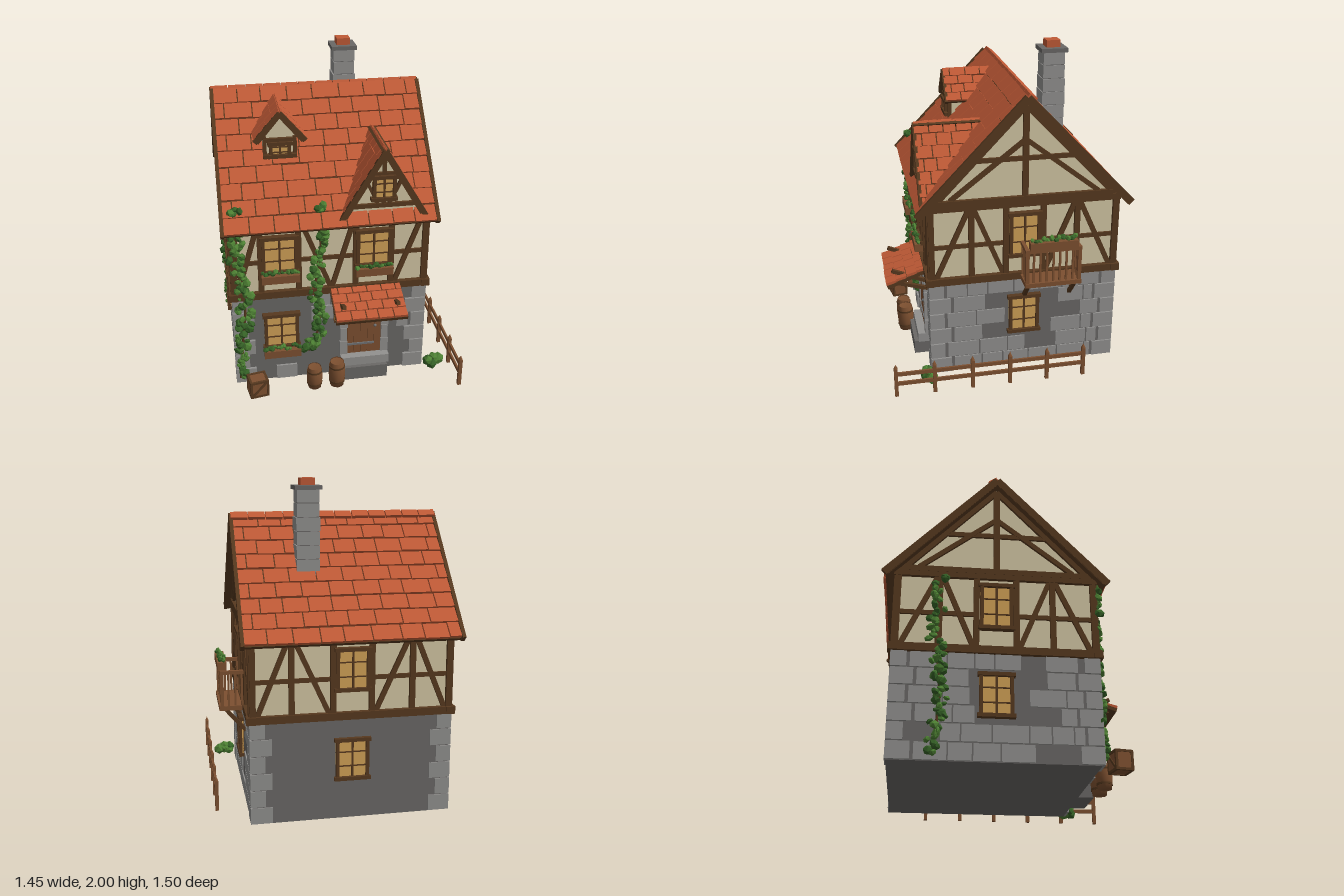
import * as THREE from 'three';

const mat = (name, color) => Object.assign(new THREE.MeshStandardMaterial({ color }), { name });
const M = {
  tile: mat('roof tile', 0xc05a36), timber: mat('dark timber', 0x57391f), plank: mat('plank wood', 0x7d5030),
  plaster: mat('plaster', 0xd3c7a4), mortar: mat('dark stone', 0x6a6866), stone: mat('light stone', 0x92918f),
  glass: mat('lit glass', 0xd2a257), leaf: mat('leaf', 0x4d8033), deep: mat('deep leaf', 0x356126), iron: mat('iron', 0x707274),
};
const PITCH = 0.68 / 0.645; // main roof rise over run

export function createModel() {
  let seed = 7;
  const rnd = (a = 0, b = 1) => {
    seed = (seed * 16807) % 2147483647;
    return a + (b - a) * seed / 2147483647;
  };
  const root = new THREE.Group();
  root.name = 'house';

  // ---------- helpers ----------
  const group = (parent, name, x = 0, y = 0, z = 0, yaw = 0) => {
    const g = new THREE.Group();
    g.name = name;
    g.position.set(x, y, z);
    g.rotation.y = yaw;
    parent.add(g);
    return g;
  };
  const mesh = (parent, name, geo, m, x = 0, y = 0, z = 0) => {
    const o = new THREE.Mesh(geo, m);
    o.name = name;
    o.position.set(x, y, z);
    parent.add(o);
    return o;
  };
  const box = (parent, name, m, w, h, d, x, y, z) => mesh(parent, name, new THREE.BoxGeometry(w, h, d), m, x, y, z);
  // Bar between two points in the parent's xy plane
  const bar = (parent, name, m, x1, y1, x2, y2, w, d, z) => {
    const o = box(parent, name, m, Math.hypot(x2 - x1, y2 - y1), w, d, (x1 + x2) / 2, (y1 + y2) / 2, z);
    o.rotation.z = Math.atan2(y2 - y1, x2 - x1);
    return o;
  };
  const prism = (pts, depth) => new THREE.ExtrudeGeometry(new THREE.Shape(pts.map(p => new THREE.Vector2(...p))), { depth, bevelEnabled: false });
  const clump = (parent, name, x, y, z, r, flat = 0.7) => {
    const o = mesh(parent, name, new THREE.IcosahedronGeometry(r, 0), rnd() < 0.55 ? M.leaf : M.deep, x, y, z);
    o.rotation.set(rnd(0, 3), rnd(0, 3), rnd(0, 3));
    o.scale.set(1, flat, 1);
  };
  const flowerBox = (parent, x, y, z, w) => {
    const g = group(parent, 'flowerBox', x, y, z);
    box(g, 'planter', M.plank, w, 0.05, 0.055, 0, 0, 0);
    for (let i = 0; i < 12; i++) clump(g, 'boxPlant', -w / 2 + w * (i + 0.5) / 12, rnd(0.025, 0.042), rnd(-0.015, 0.015), rnd(0.013, 0.022));
  };
  const windowUnit = (parent, x, y, w, h) => {
    const g = group(parent, 'window', x, y, 0);
    box(g, 'pane', M.glass, w, h, 0.009, 0, 0, 0.012);
    for (const s of [-1, 1]) {
      box(g, 'frameSide', M.timber, 0.02, h, 0.035, s * (w / 2 - 0.01), 0, 0.015);
      box(g, 'frameRail', M.timber, w + 0.02, 0.022, 0.04, 0, s * (h / 2 - 0.01), 0.017);
      box(g, 'glazingBar', M.timber, w, 0.007, 0.01, 0, s * h / 6, 0.018);
    }
    box(g, 'mullion', M.timber, 0.012, h, 0.015, 0, 0, 0.018);
  };
  // Tiled plane: eave sits 'run' out from the ridge axis; extent(y) gives its ends
  const slope = (parent, yaw, x, z, ridgeY, run, rise, rows, tileW, extent) => {
    const outer = group(parent, 'roofSlope', x, 0, z, yaw);
    const g = group(outer, 'tiledPlane', 0, ridgeY - rise, run);
    g.rotation.x = -Math.atan2(run, rise);
    const len = Math.hypot(run, rise), h = len / rows;
    const [a0, b0] = extent(ridgeY - rise), [a1, b1] = extent(ridgeY);
    mesh(g, 'roofBoard', prism([[a0, 0], [b0, 0], [b1, len], [a1, len]], 0.022), M.timber, 0, 0, -0.03);
    for (let r = 0; r < rows; r++) {
      const [a, b] = extent(ridgeY - rise + rise * (r + 0.5) / rows);
      let u = a;
      while (u < b - 0.01) {
        let w = tileW * ((u === a && r % 2) ? 0.5 : rnd(0.85, 1.15));
        if (b - u - w < tileW * 0.35) w = b - u;
        const t = box(g, 'tile', M.tile, w - 0.007, h * 0.97, 0.016, u + w / 2, (r + 0.5) * h + rnd(-0.003, 0.003), 0.001);
        t.rotation.x = -0.1;
        u += w;
      }
    }
  };

  // ---------- main body ----------
  box(root, 'stoneStorey', M.mortar, 1.19, 0.64, 1.15, -0.075, 0.32, -0.095);
  const upper = mesh(root, 'plasterStorey', prism([[-0.57, 0.63], [0.57, 0.63], [0.57, 1.13], [0, 1.73], [-0.57, 1.13]], 1.18), M.plaster, -0.665, 0, -0.09);
  upper.rotation.y = Math.PI / 2;

  // Wall frames: local x along the wall, y up, z outward
  const front = group(root, 'frontWall', -0.075, 0, 0.48);
  const back = group(root, 'backWall', -0.075, 0, -0.66, Math.PI);
  const right = group(root, 'rightWall', 0.515, 0, -0.09, -Math.PI / 2 + Math.PI);
  const left = group(root, 'leftWall', -0.665, 0, -0.09, -Math.PI / 2);

  // ---------- masonry ----------
  const masonry = (wall, half, density, holes) => {
    const h = 0.105;
    for (let r = 0; r < 6; r++) {
      const y = (r + 0.5) * h, q = r % 2 ? 0.09 : 0.13;
      for (const s of [-1, 1]) box(wall, 'cornerStone', M.stone, q, h - 0.007, 0.03, s * (half + 0.012 - q / 2), y, 0.002);
      let u = -half + q + 0.003;
      while (u < half - q - 0.03) {
        const w = Math.min(rnd(0.11, 0.21), half - q - u), c = u + w / 2;
        const blocked = holes.some(([x0, x1, y0, y1]) => c + w / 2 > x0 && c - w / 2 < x1 && y + h / 2 > y0 && y - h / 2 < y1);
        if (!blocked && rnd() < density) box(wall, 'stoneBlock', M.stone, w - 0.008, h - 0.008, 0.02, c, y, 0.003);
        u += w;
      }
    }
  };
  const sideHole = [[-0.11, 0.11, 0.24, 0.52]];
  masonry(front, 0.595, 0.45, [[-0.43, -0.19, 0.2, 0.52], [0.05, 0.4, 0, 0.57]]);
  masonry(back, 0.595, 0, []);
  masonry(right, 0.575, 0.95, sideHole);
  masonry(left, 0.575, 0.9, sideHole);

  // ---------- timber framing ----------
  const framing = (wall, half, posts, braces, rails) => {
    box(wall, 'floorBeam', M.timber, half * 2 + 0.05, 0.045, 0.05, 0, 0.642, 0.005);
    box(wall, 'topBeam', M.timber, half * 2 + 0.02, 0.04, 0.035, 0, 1.115, 0.005);
    for (const x of posts) box(wall, 'post', M.timber, 0.034, 0.47, 0.035, x, 0.88, 0.003);
    for (const [a, b] of braces) bar(wall, 'brace', M.timber, a, 0.66, b, 1.1, 0.03, 0.03, 0.001);
    for (const [a, b] of rails) bar(wall, 'midRail', M.timber, a, 0.865, b, 0.865, 0.026, 0.026, 0);
  };
  framing(front, 0.6, [-0.585, -0.425, -0.195, 0.155, 0.375, 0.585], [[-0.57, -0.44], [0.0, -0.17], [0.01, 0.14], [0.4, 0.56]], [[-0.58, -0.42], [-0.2, 0.16], [0.37, 0.58]]);
  framing(back, 0.6, [-0.585, -0.36, -0.115, 0.115, 0.36, 0.585], [[-0.56, -0.38], [-0.14, -0.34], [0.14, 0.34], [0.56, 0.38]], [[-0.58, -0.12], [0.12, 0.58]]);
  for (const wall of [right, left]) {
    framing(wall, 0.58, [-0.565, -0.325, -0.115, 0.115, 0.325, 0.565], [[-0.54, -0.34], [-0.13, -0.31], [0.13, 0.31], [0.54, 0.34]], [[-0.56, -0.12], [0.12, 0.56]]);
    // Gable truss and barge boards
    box(wall, 'gableTie', M.timber, 1.08, 0.035, 0.035, 0, 1.145, 0.006);
    box(wall, 'kingPost', M.timber, 0.036, 0.56, 0.03, 0, 1.43, 0.004);
    box(wall, 'collarTie', M.timber, 0.64, 0.028, 0.026, 0, 1.395, 0.002);
    for (const s of [-1, 1]) {
      bar(wall, 'gableStrut', M.timber, s * 0.45, 1.16, 0, 1.51, 0.028, 0.028, 0.003);
      bar(wall, 'gableRafter', M.timber, s * 0.55, 1.13, 0, 1.71, 0.03, 0.03, 0.003);
      bar(wall, 'bargeBoard', M.timber, s * 0.648, 1.085, 0, 1.765, 0.045, 0.022, 0.052);
    }
  }

  // ---------- windows ----------
  for (const [x, y] of [[-0.31, 0.375], [-0.31, 0.915], [0.265, 0.915]]) {
    windowUnit(front, x, y, 0.215, 0.25);
    flowerBox(front, x, y - 0.145, 0.045, 0.23);
  }
  windowUnit(back, 0, 0.375, 0.2, 0.26);
  windowUnit(back, 0, 0.92, 0.2, 0.26);
  for (const wall of [right, left]) {
    windowUnit(wall, 0, 0.375, 0.19, 0.26);
    windowUnit(wall, 0, 0.915, 0.19, 0.29);
  }

  // ---------- main roof ----------
  const roof = group(root, 'mainRoof');
  for (const yaw of [0, Math.PI]) slope(roof, yaw, -0.075, -0.09, 1.775, 0.645, 0.68, 9, 0.15, () => [-0.65, 0.65]);
  for (let i = 0; i < 12; i++) {
    const t = box(roof, 'ridgeTile', M.tile, 0.102, 0.02, 0.055, -0.67 + i * 0.108, 1.767, -0.115);
    t.rotation.x = -0.6;
  }

  // ---------- dormers ----------
  const dormer = (name, x, z, peak, run, rise, rows, wall, depth) => {
    const g = group(root, name, x, 0, 0);
    const meet = y => -0.09 + (1.78 - y) / PITCH - 0.02;
    slope(g, Math.PI / 2, 0, 0, peak, run, rise, rows, 0.09, y => [-z, Math.max(-z + 0.01, -meet(y))]);
    slope(g, -Math.PI / 2, 0, 0, peak, run, rise, rows, 0.09, y => [Math.min(z - 0.01, meet(y)), z]);
    const face = group(g, 'dormerFace', 0, 0, z - 0.035);
    mesh(face, 'dormerGable', prism(wall, depth), M.plaster, 0, 0, -depth);
    for (const s of [-1, 1]) bar(face, 'dormerBargeBoard', M.timber, s * run, peak - rise - 0.01, 0, peak - 0.015, 0.032, 0.02, 0.03);
    return face;
  };
  const small = dormer('smallDormer', -0.34, 0.27, 1.735, 0.15, 0.18, 4, [[-0.1, 1.42], [0.1, 1.42], [0.1, 1.58], [0, 1.7], [-0.1, 1.58]], 0.24);
  windowUnit(small, 0, 1.49, 0.13, 0.1);
  box(small, 'dormerSill', M.timber, 0.2, 0.022, 0.04, 0, 1.452, 0.015);
  box(small, 'dormerLintel', M.timber, 0.2, 0.022, 0.03, 0, 1.55, 0.008);
  for (const s of [-1, 1]) box(small, 'dormerPost', M.timber, 0.022, 0.14, 0.025, s * 0.09, 1.5, 0.004);
  const large = dormer('largeDormer', 0.24, 0.53, 1.565, 0.27, 0.455, 7, [[-0.25, 1.12], [0.25, 1.12], [0, 1.53]], 0.36);
  windowUnit(large, 0, 1.315, 0.14, 0.16);
  box(large, 'dormerTie', M.timber, 0.4, 0.026, 0.028, 0, 1.2, 0.004);
  box(large, 'dormerCollar', M.timber, 0.19, 0.022, 0.028, 0, 1.4, 0.004);
  box(large, 'dormerKingPost', M.timber, 0.024, 0.32, 0.026, 0, 1.35, 0.003);
  for (const s of [-1, 1]) bar(large, 'dormerBrace', M.timber, s * 0.03, 1.2, s * 0.11, 1.37, 0.02, 0.026, 0.003);

  // ---------- chimney ----------
  const chimney = group(root, 'chimney', 0.137, 0, -0.335);
  box(chimney, 'flueCore', M.mortar, 0.125, 0.58, 0.125, 0, 1.66, 0);
  for (let i = 0; i < 7; i++) box(chimney, 'chimneyCourse', M.stone, rnd(0.13, 0.147), 0.077, rnd(0.13, 0.147), 0, 1.405 + i * 0.082, 0);
  box(chimney, 'chimneyCap', M.mortar, 0.162, 0.025, 0.162, 0, 1.945, 0);
  box(chimney, 'chimneyPot', M.tile, 0.085, 0.045, 0.085, 0, 1.978, 0);

  // ---------- door, steps and porch ----------
  const door = group(front, 'doorway', 0.215, 0, 0);
  box(door, 'lintel', M.stone, 0.31, 0.05, 0.04, 0, 0.56, 0.005);
  for (const s of [-1, 1]) for (let i = 0; i < 4; i++) box(door, 'jambStone', M.stone, i % 2 ? 0.042 : 0.05, 0.096, 0.04, s * 0.132, 0.198 + i * 0.1, 0.005);
  for (let i = 0; i < 5; i++) box(door, 'doorPlank', M.plank, 0.042, 0.39, 0.02, (i - 2) * 0.0435, 0.345, 0.008);
  for (const y of [0.22, 0.46]) box(door, 'hinge', M.iron, 0.17, 0.014, 0.008, -0.02, y, 0.021);
  mesh(door, 'handle', new THREE.SphereGeometry(0.01, 8, 6), M.iron, 0.07, 0.35, 0.024);
  box(door, 'upperStep', M.stone, 0.31, 0.06, 0.07, 0, 0.12, 0.035);
  box(door, 'lowerStep', M.mortar, 0.28, 0.09, 0.1, 0, 0.045, 0.045);
  const porch = group(root, 'porch', 0.14, 0, 0.49);
  slope(porch, 0, 0, 0, 0.655, 0.25, 0.095, 4, 0.085, () => [-0.22, 0.22]);
  for (const x of [-0.165, 0.165]) {
    const side = group(porch, 'porchBracket', x, 0, 0, -Math.PI / 2);
    bar(side, 'porchArm', M.timber, -0.02, 0.535, 0.21, 0.63, 0.022, 0.022, 0);
    bar(side, 'porchStrut', M.timber, -0.02, 0.485, 0.2, 0.55, 0.022, 0.022, 0);
  }
  const lantern = group(root, 'lantern', -0.045, 0.48, 0.56);
  box(lantern, 'lanternGlass', M.glass, 0.032, 0.045, 0.032, 0, 0, 0);
  for (const y of [-0.026, 0.026]) box(lantern, 'lanternPlate', M.timber, 0.042, 0.008, 0.042, 0, y, 0);
  box(lantern, 'lanternHook', M.timber, 0.008, 0.05, 0.008, 0, 0.05, 0);
  box(lantern, 'lanternArm', M.timber, 0.01, 0.01, 0.09, 0, 0.07, -0.04);

  // ---------- balcony ----------
  const balcony = group(right, 'balcony', 0.145, 0, 0);
  box(balcony, 'balconyFloor', M.plank, 0.345, 0.028, 0.165, 0, 0.64, 0.085);
  box(balcony, 'frontHandrail', M.plank, 0.345, 0.022, 0.022, 0, 0.86, 0.15);
  for (let i = 0; i < 9; i++) box(balcony, 'baluster', M.plank, i % 8 ? 0.012 : 0.022, 0.21, i % 8 ? 0.012 : 0.022, -0.16 + i * 0.04, 0.755, 0.15);
  for (const s of [-1, 1]) {
    box(balcony, 'sideHandrail', M.plank, 0.022, 0.022, 0.15, s * 0.16, 0.86, 0.08);
    for (const z of [0.03, 0.07, 0.11]) box(balcony, 'sideBaluster', M.plank, 0.012, 0.21, 0.012, s * 0.16, 0.755, z);
    const side = group(balcony, 'balconySupport', s * 0.145, 0, 0, -Math.PI / 2);
    bar(side, 'balconyBrace', M.timber, 0.01, 0.49, 0.14, 0.64, 0.022, 0.022, 0);
  }
  flowerBox(balcony, 0, 0.893, 0.145, 0.29);

  // ---------- ivy ----------
  const ivy = (wall, pts, spread, n) => {
    const g = group(wall, 'ivy');
    const path = new THREE.CatmullRomCurve3(pts.map(([x, y]) => new THREE.Vector3(x, y, 0.015)));
    mesh(g, 'ivyStem', new THREE.TubeGeometry(path, 16, 0.008, 5), M.timber);
    for (let i = 0; i < n; i++) {
      const p = path.getPoint((i + 0.5) / n);
      clump(g, 'ivyLeaf', p.x + rnd(-spread, spread), p.y, rnd(0.01, 0.035), rnd(0.02, 0.034), 0.65);
    }
  };
  ivy(front, [[-0.58, 0.04], [-0.55, 0.35], [-0.53, 0.6], [-0.57, 0.85], [-0.56, 1.1]], 0.045, 80);
  ivy(front, [[-0.14, 0.2], [-0.07, 0.4], [-0.1, 0.65], [-0.06, 0.9], [-0.075, 1.12]], 0.04, 70);
  ivy(left, [[-0.34, 0.03], [-0.31, 0.4], [-0.34, 0.7], [-0.32, 1.1]], 0.04, 65);
  for (const x of [-0.565, -0.075]) for (let i = 0; i < 6; i++) clump(front, 'roofIvy', x + rnd(-0.035, 0.035), rnd(1.19, 1.22), rnd(-0.01, 0.015), 0.026);

  // ---------- fence ----------
  const fence = group(root, 'fence', 0.715, 0, 0.15);
  for (let i = 0; i < 6; i++) {
    const z = -0.58 + i * 0.2325;
    box(fence, 'fencePost', M.plank, 0.022, 0.19, 0.022, 0, 0.095, z);
    mesh(fence, 'postPoint', new THREE.ConeGeometry(0.0156, 0.03, 4).rotateY(Math.PI / 4), M.plank, 0, 0.205, z);
  }
  for (const y of [0.085, 0.15]) box(fence, 'fenceRail', M.plank, 0.012, 0.024, 1.17, 0, y, 0);

  // ---------- barrels, crate and bush ----------
  for (const [x, z, h, r] of [[-0.195, 0.6, 0.15, 0.05], [-0.052, 0.6, 0.175, 0.053]]) {
    const g = group(root, 'barrel', x, 0, z);
    const profile = [[0, 0], [0.82, 0], [0.97, 0.3], [1, 0.5], [0.97, 0.7], [0.82, 1], [0.75, 0.97], [0, 0.97]];
    mesh(g, 'barrelStaves', new THREE.LatheGeometry(profile.map(([a, b]) => new THREE.Vector2(a * r, b * h)), 12), M.plank);
    for (const t of [0.2, 0.8]) mesh(g, 'barrelHoop', new THREE.CylinderGeometry(r * 0.97, r * 0.97, 0.012, 12), M.timber, 0, h * t, 0);
  }
  const crate = group(root, 'crate', -0.555, 0.058, 0.608, 0.17);
  box(crate, 'crateCore', M.plank, 0.108, 0.108, 0.095, 0, 0, 0);
  for (const s of [-1, 1]) {
    for (const t of [-1, 1]) {
      box(crate, 'crateUpright', M.timber, 0.014, 0.115, 0.014, s * 0.052, 0, t * 0.046);
      box(crate, 'crateEdge', M.timber, 0.115, 0.014, 0.014, 0, s * 0.051, t * 0.046);
      box(crate, 'crateSideEdge', M.timber, 0.014, 0.014, 0.1, s * 0.052, t * 0.051, 0);
    }
    bar(crate, 'crateBrace', M.timber, -0.05, -0.05, 0.05, 0.05, 0.014, 0.008, s * 0.049);
  }
  const bush = group(root, 'bush', 0.605, 0, 0.53);
  for (let i = 0; i < 9; i++) clump(bush, 'bushClump', rnd(-0.04, 0.04), rnd(0.03, 0.065), rnd(-0.025, 0.025), rnd(0.03, 0.042), 0.9);
  return root;
}
